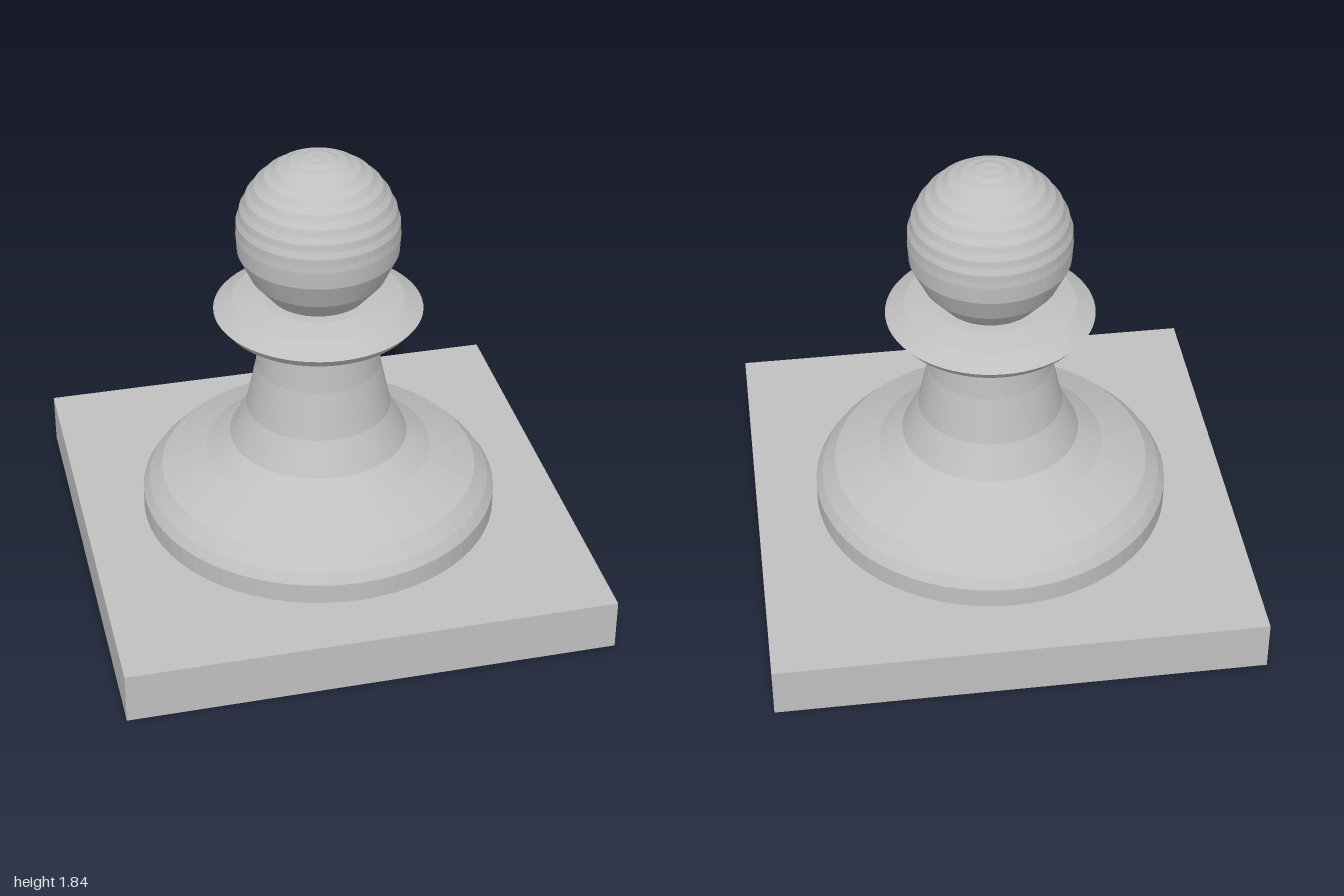
import * as THREE from 'three';

const SEGMENTS = 64;

export function createModel() {
  const model = new THREE.Group();
  const stone = new THREE.MeshStandardMaterial({ color: 0xc0c0c0, flatShading: true });
  stone.name = 'light grey';

  const add = (name, geometry) => {
    const mesh = new THREE.Mesh(geometry, stone);
    mesh.name = name;
    model.add(mesh);
    return mesh;
  };
  // Profiles run from bottom to top as [radius, height]
  const turned = (name, profile) =>
    add(name, new THREE.LatheGeometry(profile.map(([r, y]) => new THREE.Vector2(r, y)), SEGMENTS));

  // Square plinth
  add('plinth', new THREE.BoxGeometry(2, 0.216, 2)).position.y = 0.108;

  // Flared foot and tapering stem
  turned('body', [
    [0.742, 0.216], [0.742, 0.303], [0.715, 0.345], [0.66, 0.402], [0.565, 0.445],
    [0.47, 0.487], [0.37, 0.56], [0.3, 0.7], [0.257, 0.9], [0.241, 1.08],
  ]);

  // Collar ring
  turned('collar', [
    [0, 1.075], [0.24, 1.075], [0.395, 1.12], [0.427, 1.16], [0.35, 1.205], [0.245, 1.23], [0, 1.23],
  ]);

  // Head: faceted lower bowl, then a dome with shallow turned ridges
  const head = [[0.195, 1.225], [0.275, 1.32], [0.326, 1.43], [0.331, 1.505]];
  const steps = 18;
  for (let i = 1; i < steps; i++) {
    const a = (i / steps) * Math.PI / 2;
    const r = 0.332 + (i % 2 ? -0.002 : 0.002);
    head.push([r * Math.cos(a), 1.505 + r * Math.sin(a)]);
  }
  head.push([0, 1.838]);
  turned('head', head);

  return model;
}
